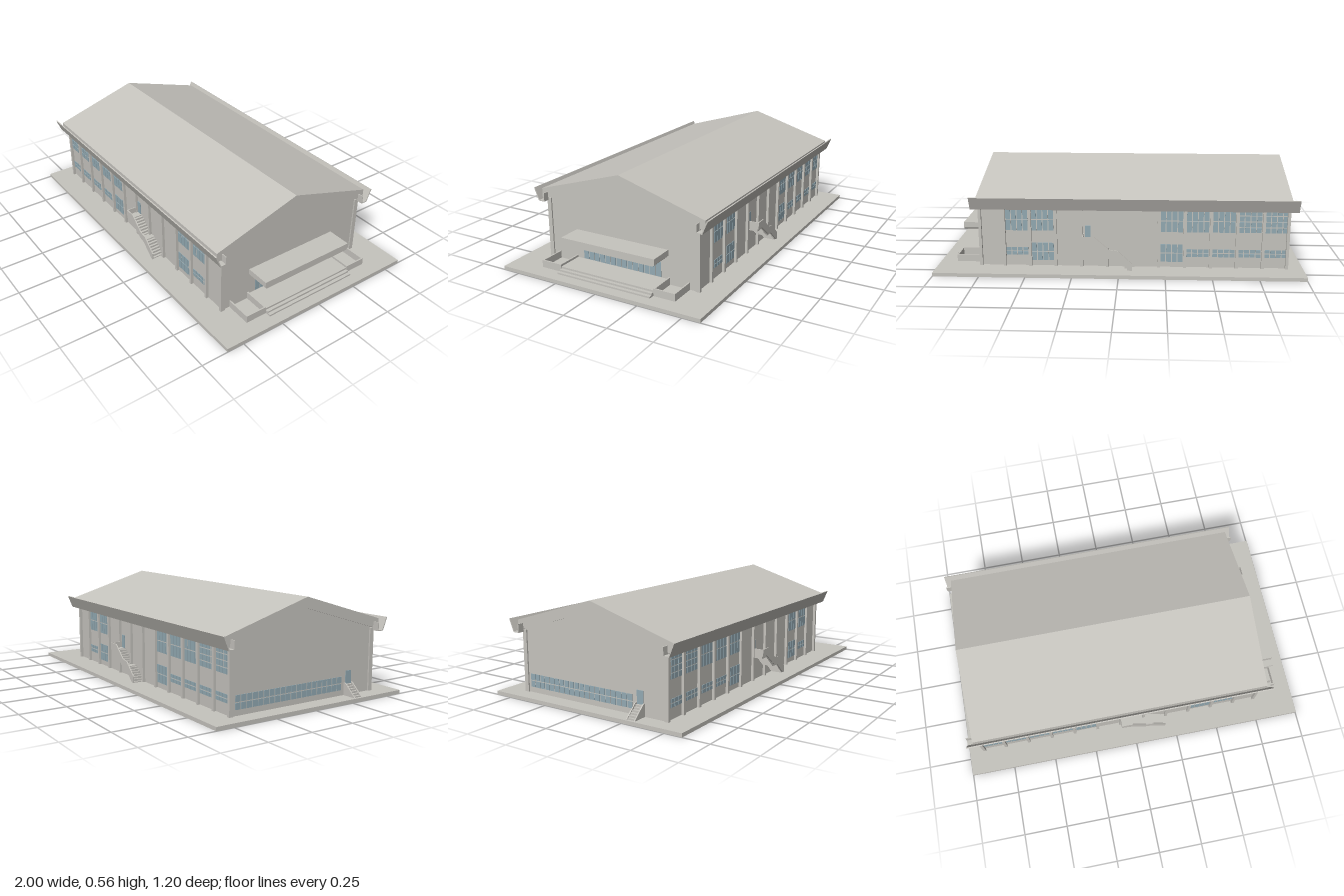
import * as THREE from 'three';
import { mergeGeometries } from 'three/addons/utils/BufferGeometryUtils.js';

const concrete = new THREE.MeshStandardMaterial({ color: 0xc6c4be });
concrete.name = 'pale concrete';
const glass = new THREE.MeshStandardMaterial({ color: 0x93aab3 });
glass.name = 'blue glass';

const X0 = -0.92, X1 = 0.77, WALL = 0.455, GROUND = 0.02;
const BAY = (X1 - X0) / 12;

function add(parent, name, geometry, material = concrete) {
  const mesh = new THREE.Mesh(geometry, material);
  mesh.name = name;
  parent.add(mesh);
  return mesh;
}

// Box given by its limits on each axis
function block(x0, x1, y0, y1, z0, z1) {
  return new THREE.BoxGeometry(x1 - x0, y1 - y0, z1 - z0)
    .translate((x0 + x1) / 2, (y0 + y1) / 2, (z0 + z1) / 2);
}

function extrude(points, depth) {
  const shape = new THREE.Shape(points.map(([a, b]) => new THREE.Vector2(a, b)));
  return new THREE.ExtrudeGeometry(shape, { depth, bevelEnabled: false });
}

// Cross-section in (z, y) swept along x from x0 to x1
function sweepX(points, x0, x1) {
  return extrude(points.map(([z, y]) => [-z, y]), x1 - x0).rotateY(Math.PI / 2).translate(x0, 0, 0);
}

// Grid of thin panes in the xy plane, facing +z
function panes(x0, x1, y0, y1, cols, rows) {
  const list = [], gap = 0.005;
  const w = (x1 - x0 + gap) / cols, h = (y1 - y0 + gap) / rows;
  for (let i = 0; i < cols; i++)
    for (let j = 0; j < rows; j++)
      list.push(block(x0 + i * w, x0 + (i + 1) * w - gap, y0 + j * h, y0 + (j + 1) * h - gap, -0.002, 0.003));
  return mergeGeometries(list);
}

// Outside staircase on a long side, descending towards +x
function sideStair() {
  const stair = new THREE.Group();
  stair.name = 'sideStair';
  const zIn = WALL, zOut = 0.52;
  add(stair, 'upperLanding', block(-0.077, -0.03, 0.155, 0.175, zIn, zOut));
  add(stair, 'middleLanding', block(0.06, 0.103, 0.083, 0.098, zIn, zOut));
  const flights = [[-0.03, 0.175, 0.06, 0.098, 7], [0.103, 0.098, 0.188, 0.02, 7]];
  for (const [xa, ya, xb, yb, n] of flights) {
    const dx = (xb - xa) / n, dy = (ya - yb) / n;
    for (let i = 0; i < n; i++) {
      const top = ya - dy * (i + 0.5);
      add(stair, 'step', block(xa + i * dx, xa + (i + 1) * dx, Math.max(GROUND - 0.002, top - 0.018), top, zIn, zOut));
    }
  }
  const parapet = [[-0.077, 0.168], [-0.035, 0.168], [0.06, 0.097], [0.1, 0.088], [0.178, 0.02], [0.192, 0.02],
    [0.192, 0.058], [0.115, 0.13], [0.068, 0.137], [-0.013, 0.208], [-0.077, 0.208]];
  add(stair, 'stairParapet', extrude(parapet, 0.006).translate(0, 0, zOut));
  add(stair, 'landingParapet', block(-0.077, -0.072, 0.168, 0.208, zIn, zOut));
  add(stair, 'stairDoor', block(-0.066, -0.037, 0.175, 0.25, WALL - 0.002, WALL + 0.004), glass);
  return stair;
}

// Windows and columns of one long side; flip is 1 for the front, -1 for the back
function longSide(flip) {
  const side = new THREE.Group();
  side.name = flip > 0 ? 'frontFacade' : 'backFacade';
  for (let i = 0; i <= 12; i++) {
    const x = THREE.MathUtils.clamp(X0 + i * BAY, X0 + 0.01, X1 - 0.01);
    const z = flip * (WALL + 0.0025);
    add(side, 'column', block(x - 0.008, x + 0.008, GROUND, 0.362, z - 0.0125, z + 0.0125));
  }
  const glazing = new THREE.Group();
  glazing.name = 'facadeWindows';
  for (const bay of [0, 1, 2, 3, 4, 9, 10]) {
    let a = X0 + bay * BAY + 0.012, b = X0 + (bay + 1) * BAY - 0.009;
    if (flip < 0) [a, b] = [-b, -a];
    add(glazing, 'upperWindow', panes(a, b, 0.22, 0.345, 4, bay < 2 ? 4 : 2), glass);
    const tall = bay === 4 || bay === 9;
    add(glazing, 'lowerWindow', panes(a, b, tall ? 0.05 : 0.08, tall ? 0.15 : 0.123, 4, 2), glass);
  }
  glazing.position.z = flip * WALL;
  glazing.rotation.y = flip > 0 ? 0 : Math.PI;
  side.add(glazing);
  return side;
}

// Entrance end: canopy, steps, planters and glazing
function entrance() {
  const porch = new THREE.Group();
  porch.name = 'entrance';
  const wall = X1 - 0.01;
  const canopy = [[-0.285, 0.21], [-0.285, 0.178], [-0.277, 0.17], [0.277, 0.17], [0.285, 0.178], [0.285, 0.21]];
  add(porch, 'canopy', sweepX(canopy, wall, 0.895));
  [0.905, 0.922, 0.94].forEach((x, i) =>
    add(porch, 'entranceStep', block(wall, x, GROUND, 0.049 - i * 0.01, -0.285, 0.285)));
  for (const s of [1, -1]) {
    const zs = (a, b) => (s > 0 ? [a, b] : [-b, -a]);
    add(porch, 'planterInnerWall', block(wall, 0.908, GROUND, 0.06, ...zs(0.286, 0.294)));
    add(porch, 'planterOuterWall', block(wall, 0.908, GROUND, 0.06, ...zs(0.402, 0.41)));
    add(porch, 'planterEndWall', block(0.9, 0.908, GROUND, 0.06, ...zs(0.294, 0.402)));
  }
  const glazing = new THREE.Group();
  glazing.name = 'entranceGlazing';
  add(glazing, 'tallPanes', panes(-0.242, 0.242, 0.052, 0.133, 14, 1), glass);
  add(glazing, 'topPanes', panes(-0.242, 0.242, 0.137, 0.152, 14, 1), glass);
  glazing.position.x = wall;
  glazing.rotation.y = Math.PI / 2;
  porch.add(glazing);
  return porch;
}

// Opposite end: low window strip, door and a small flight of steps
function rearEnd() {
  const end = new THREE.Group();
  end.name = 'rearEnd';
  const wall = X0 + 0.01;
  const glazing = new THREE.Group();
  glazing.name = 'endGlazing';
  add(glazing, 'windowStrip', panes(-0.43, 0.25, 0.05, 0.122, 20, 2), glass);
  add(glazing, 'endDoor', block(0.28, 0.318, 0.08, 0.15, -0.002, 0.004), glass);
  glazing.position.x = wall;
  glazing.rotation.y = -Math.PI / 2;
  end.add(glazing);
  for (let i = 0; i < 6; i++)
    add(end, 'endStep', block(-0.985 + i * 0.0125, wall, GROUND, 0.028 + i * 0.01, 0.277, 0.32));
  for (const z of [0.271, 0.319])
    add(end, 'endStepCheek', extrude([[-0.992, 0.02], [wall, 0.02], [wall, 0.088], [-0.922, 0.085]], 0.006).translate(0, 0, z));
  return end;
}

export function createModel() {
  const model = new THREE.Group();
  model.name = 'hall';
  add(model, 'baseSlab', block(-1, 1, 0, GROUND, -0.6, 0.6));

  // Gabled body and the thick roof over it
  add(model, 'walls', sweepX([[-WALL, GROUND], [WALL, GROUND], [WALL, 0.37], [0, 0.505], [-WALL, 0.37]], X0 + 0.01, X1 - 0.01));
  add(model, 'roof', sweepX([[0.5, 0.353], [0.5, 0.41], [0, 0.56], [-0.5, 0.41], [-0.5, 0.353], [0, 0.502]], X0, X1));

  // Open gutters with a slanting outer board
  for (const s of [1, -1]) {
    const profile = [[0.463, 0.395], [0.463, 0.348], [0.5, 0.348], [0.529, 0.418], [0.523, 0.42], [0.496, 0.353], [0.468, 0.353], [0.468, 0.395]];
    add(model, s > 0 ? 'frontGutter' : 'backGutter', sweepX(profile.map(([z, y]) => [s * z, y]), -0.955, 0.802));
    model.add(longSide(s));
  }

  const frontStair = sideStair();
  const backStair = sideStair();
  backStair.rotation.y = Math.PI;
  backStair.position.x = 0.12;
  model.add(frontStair, backStair, entrance(), rearEnd());
  return model;
}
